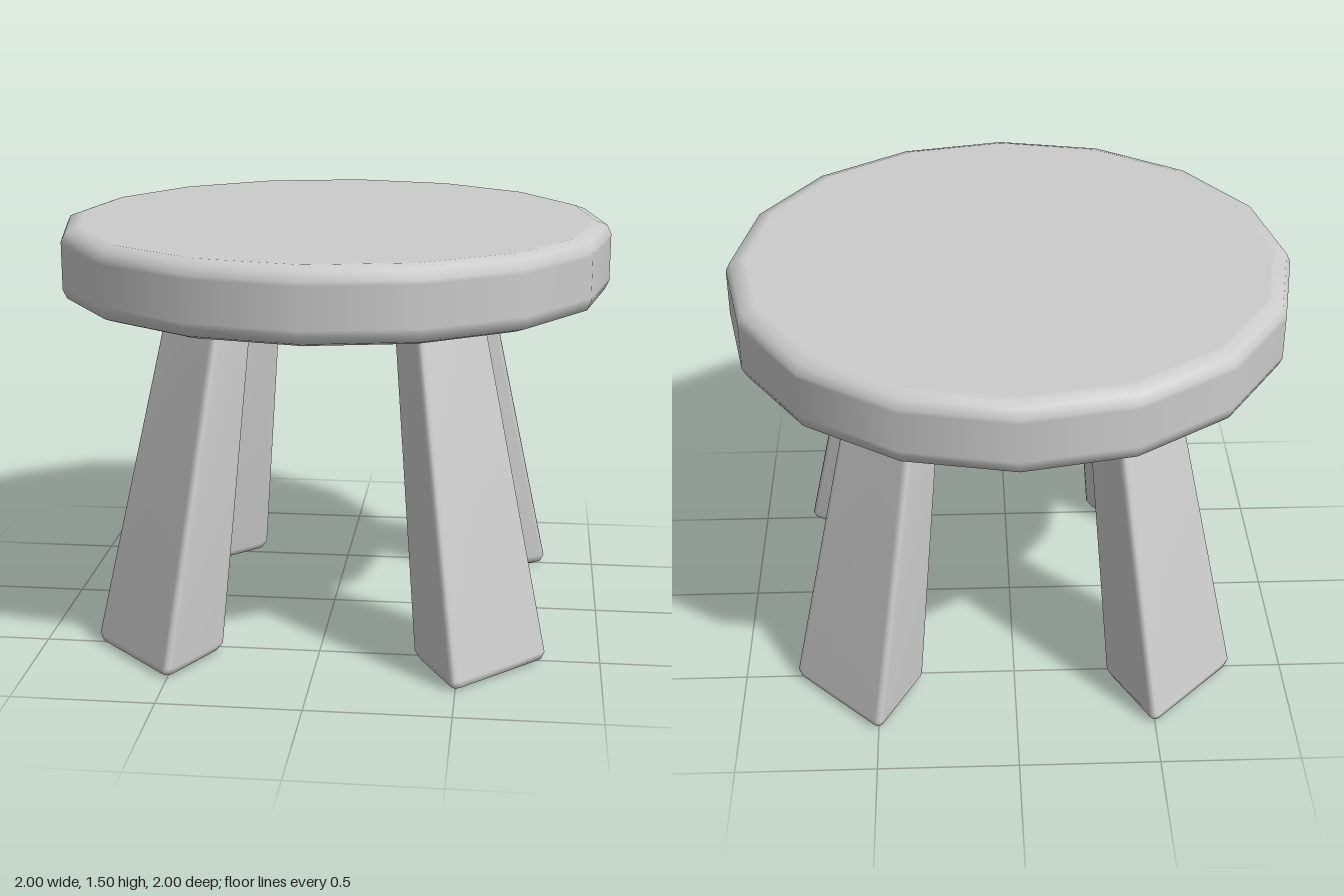
import * as THREE from 'three';

const SEAT_BOTTOM = 1.235, SEAT_TOP = 1.497;
const material = new THREE.MeshStandardMaterial({ color: 0xcccccc, side: THREE.FrontSide });

// Sixteen-sided seat with softly bevelled rims
function createSeat() {
  const b = SEAT_BOTTOM, t = SEAT_TOP;
  const profile = [
    [0, b], [0.93, b], [0.945, b], [0.985, b + 0.014], [1, b + 0.045], [1, b + 0.06],
    [1, t - 0.06], [1, t - 0.045], [0.985, t - 0.014], [0.945, t], [0.93, t], [0, t],
  ].map(([x, y]) => new THREE.Vector2(x, y));
  const seat = new THREE.Mesh(new THREE.LatheGeometry(profile, 16), material);
  seat.name = 'seat';
  return seat;
}

// Trapezoid leg section with rounded corners; z points outward from the stool axis
function legSection(y, inset) {
  const k = y / SEAT_BOTTOM, mix = THREE.MathUtils.lerp;
  const wi = mix(0.14, 0.1, k) - inset, wo = mix(0.23, 0.16, k) - inset;
  const ri = mix(0.62, 0.44, k) + inset, ro = mix(0.935, 0.64, k) - inset;
  const corners = [[wi, ri], [-wi, ri], [-wo, ro], [wo, ro]].map(([x, z]) => new THREE.Vector3(x, y, z));
  const loop = [];
  corners.forEach((c, i) => {
    const toward = (o) => c.clone().add(o.clone().sub(c).setLength(0.03));
    const arc = new THREE.QuadraticBezierCurve3(
      toward(corners[(i + 3) % 4]), c, toward(corners[(i + 1) % 4]));
    loop.push(...arc.getPoints(3));
  });
  return loop;
}

// Leg skinned from sections, capped at both ends
function createLegGeometry() {
  const loops = [[0, 0.036], [0.01, 0.012], [0.036, 0], [1.27, 0]].map(([y, inset]) => legSection(y, inset));
  const n = loops[0].length, points = loops.flat(), index = [];
  for (let i = 0; i < loops.length - 1; i++) {
    for (let j = 0; j < n; j++) {
      const a = i * n + j, b = i * n + (j + 1) % n;
      index.push(a, b, b + n, a, b + n, a + n);
    }
  }
  const top = (loops.length - 1) * n, c0 = points.length;
  for (const loop of [loops[0], loops[loops.length - 1]]) {
    points.push(loop.reduce((s, p) => s.add(p), new THREE.Vector3()).divideScalar(n));
  }
  for (let j = 0; j < n; j++) {
    const k = (j + 1) % n;
    index.push(c0, k, j, c0 + 1, top + j, top + k);
  }
  const geometry = new THREE.BufferGeometry().setFromPoints(points);
  geometry.setIndex(index);
  geometry.computeVertexNormals();
  return geometry;
}

export function createModel() {
  const stool = new THREE.Group();
  stool.name = 'stool';
  stool.add(createSeat());

  // Four splayed legs on the diagonals
  const legGeometry = createLegGeometry();
  ['frontLeftLeg', 'backLeftLeg', 'backRightLeg', 'frontRightLeg'].forEach((name, i) => {
    const leg = new THREE.Mesh(legGeometry, material);
    leg.name = name;
    leg.rotation.y = Math.PI / 4 + i * Math.PI / 2;
    stool.add(leg);
  });
  return stool;
}
